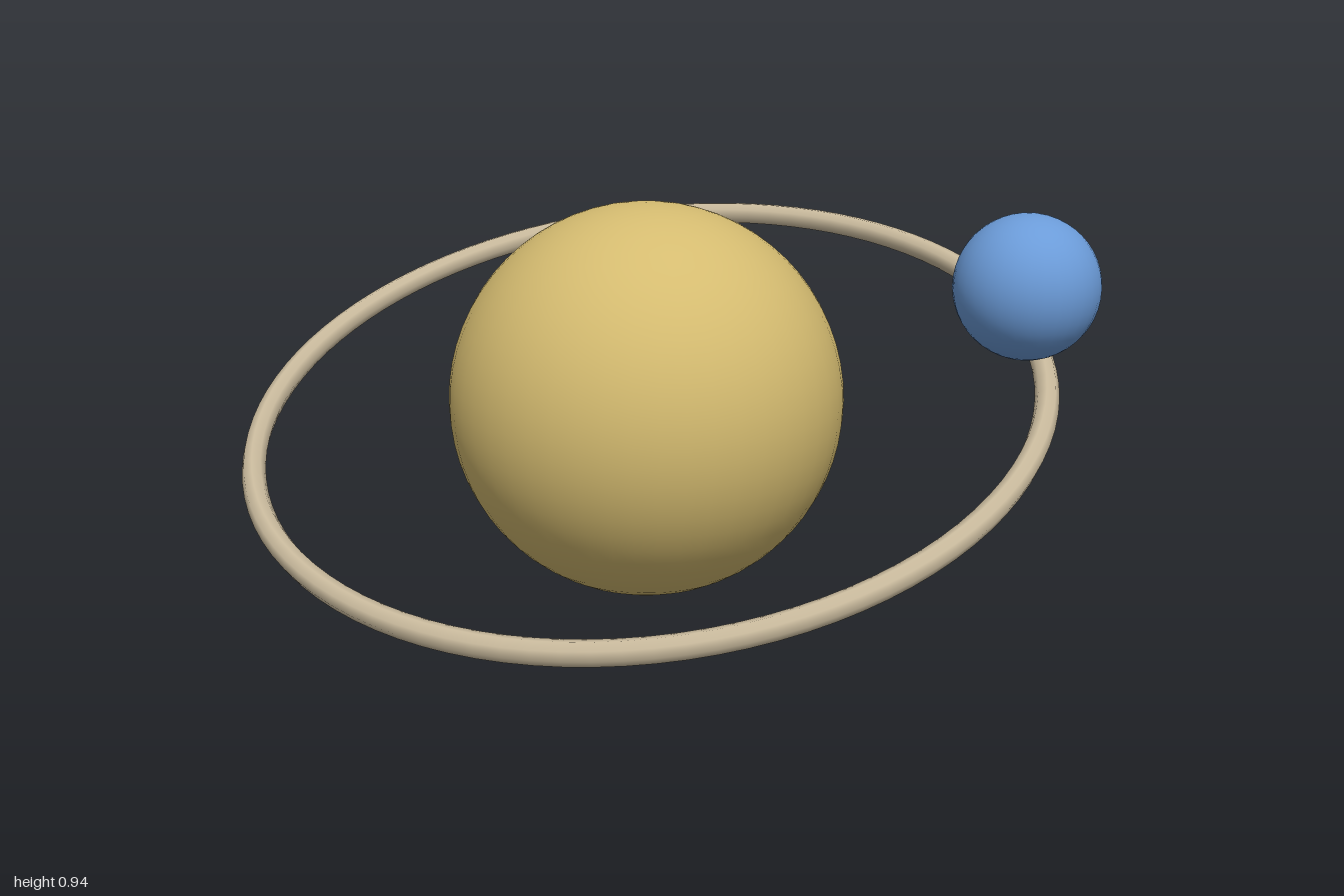
import * as THREE from 'three';

export function createModel() {
  const model = new THREE.Group();
  model.name = 'ringedPlanet';

  const material = (name, color) => {
    const m = new THREE.MeshStandardMaterial({ color });
    m.name = name;
    return m;
  };
  const add = (name, geometry, mat, x, y) => {
    const mesh = new THREE.Mesh(geometry, mat);
    mesh.name = name;
    mesh.position.set(x, y, 0);
    model.add(mesh);
    return mesh;
  };

  const radius = 0.464;
  const centreX = -0.043;

  // Planet resting on the ground plane
  add('planet', new THREE.SphereGeometry(radius, 48, 32), material('sand', 0xd4bb70), centreX, radius);

  // Thin eight-sided ring, dipping towards the front
  const ring = add('ring', new THREE.TorusGeometry(0.929, 0.028, 8, 96), material('paleStone', 0xc8b99c), centreX, radius);
  ring.rotation.x = Math.PI / 2 + 0.35;

  // Small moon up on the left
  add('moon', new THREE.SphereGeometry(0.162, 32, 24), material('blue', 0x6b9bd8), 0.838, 0.781);

  return model;
}
